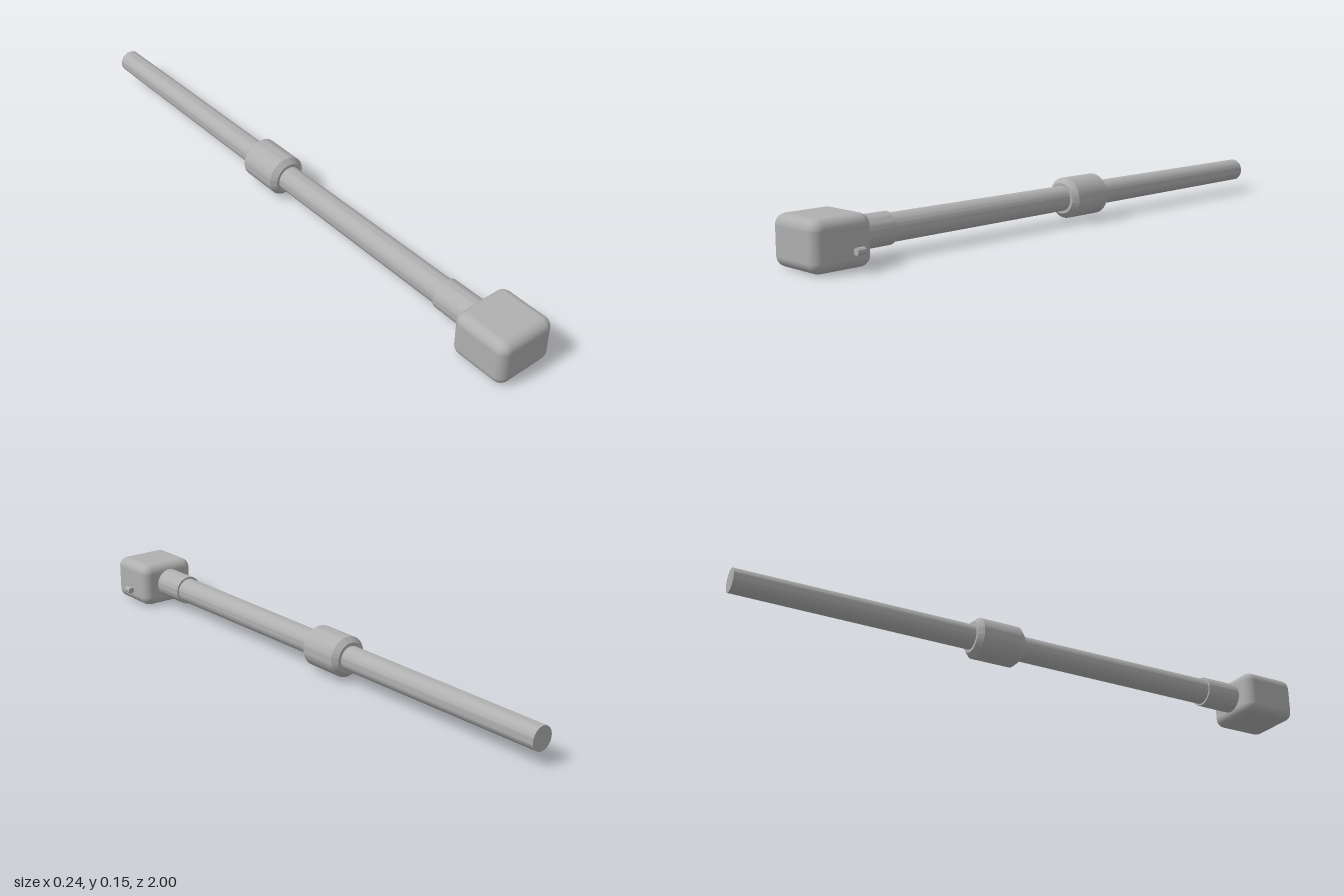
import * as THREE from 'three';
import { RoundedBoxGeometry } from 'three/addons/geometries/RoundedBoxGeometry.js';
import { toCreasedNormals } from 'three/addons/utils/BufferGeometryUtils.js';

const AXIS_X = -0.021, AXIS_Y = 0.078;

export function createModel() {
  const model = new THREE.Group();
  const grey = new THREE.MeshStandardMaterial({ color: 0xb0b0b0 });
  grey.name = 'grey';

  const add = (name, geometry, x, y, z) => {
    const mesh = new THREE.Mesh(geometry, grey);
    mesh.name = name;
    mesh.position.set(x, y, z);
    model.add(mesh);
  };

  // Turned part along z: profile of [radius, z] pairs from back to front
  const turned = (name, profile, x = AXIS_X, y = AXIS_Y) => {
    const points = profile.map(([r, z]) => new THREE.Vector2(r, z));
    const geometry = toCreasedNormals(new THREE.LatheGeometry(points, 48), 0.5);
    add(name, geometry.rotateX(Math.PI / 2), x, y, 0);
  };

  // Rounded block at the front end
  add('headBlock', new RoundedBoxGeometry(0.205, 0.152, 0.2, 6, 0.033), -0.0195, 0.076, 0.9);

  // Slightly tapered shaft
  turned('shaft', [[0, -1], [0.038, -1], [0.044, 0.82], [0, 0.82]]);

  // Collar where the shaft enters the block
  turned('collar', [[0.04, 0.675], [0.05, 0.675], [0.051, 0.82], [0, 0.82]]);

  // Chamfered sleeve around the middle of the shaft
  turned('sleeve', [
    [0.035, -0.221], [0.051, -0.221], [0.067, -0.204],
    [0.067, -0.068], [0.051, -0.051], [0.035, -0.051],
  ]);

  // Small separate pin beside the block
  turned('pin', [[0, 0.857], [0.011, 0.857], [0.011, 0.885], [0, 0.885]], 0.111, 0.058);

  return model;
}
